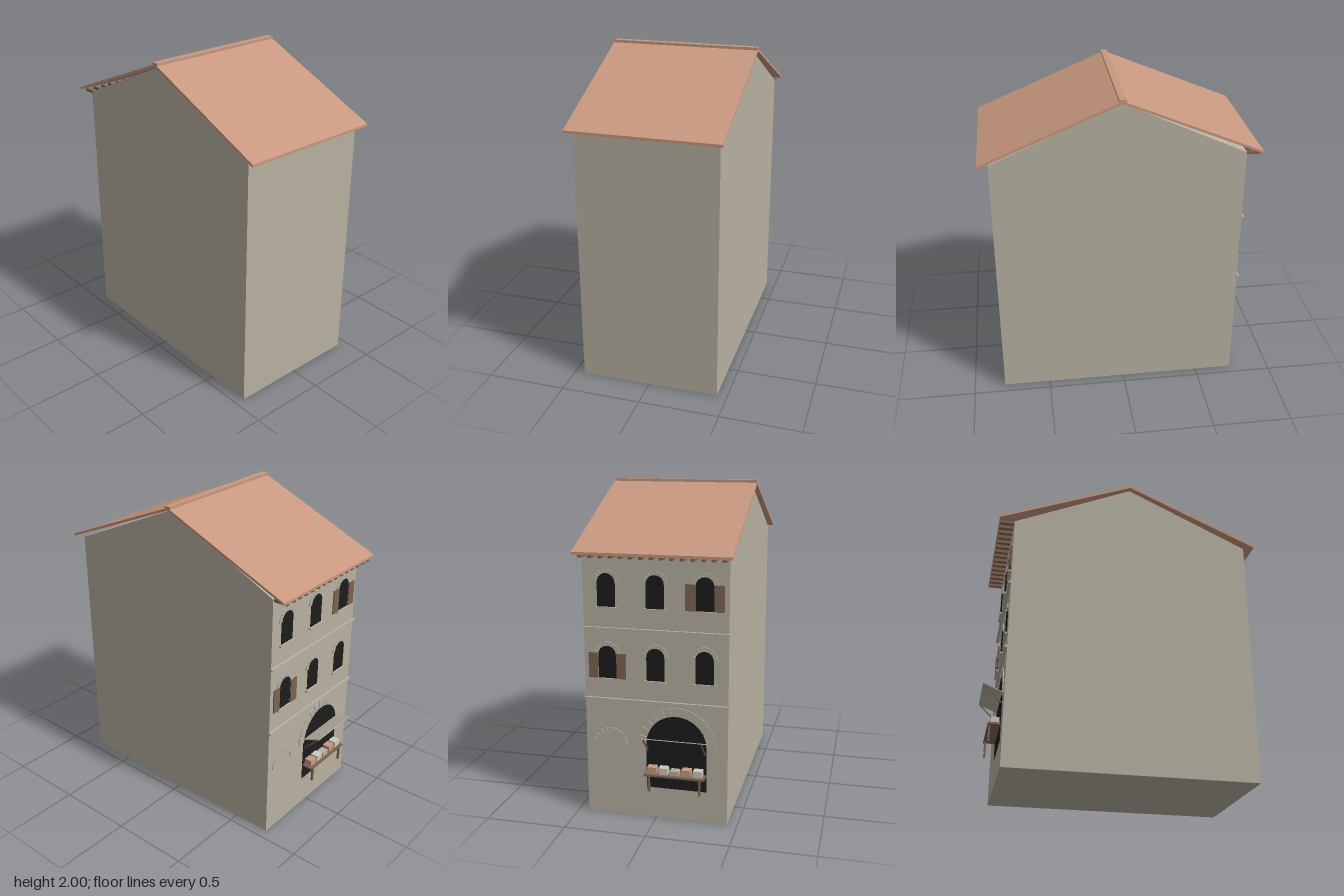
import * as THREE from 'three';

const mat = (name, color) => Object.assign(new THREE.MeshStandardMaterial({ color }), { name });

export function createModel() {
  const stone = mat('stone', 0xb8b1a2);
  const tile = mat('roof tile', 0xc8987f);
  const wood = mat('wood', 0x7d6452);
  const dark = mat('dark opening', 0x1c1c1c);
  const pale = mat('pale goods', 0xcfc8ba);

  const root = new THREE.Group();
  root.name = 'townHouse';

  const add = (parent, name, geo, material) => {
    const m = new THREE.Mesh(geo, material);
    m.name = name;
    parent.add(m);
    return m;
  };
  const box = (parent, name, material, w, h, d, x, y, z) => {
    const m = add(parent, name, new THREE.BoxGeometry(w, h, d), material);
    m.position.set(x, y, z);
    return m;
  };
  // Extrudes a side outline of [z, y] points along x, centred
  const sideExtrude = (name, points, width, material) => {
    const shape = new THREE.Shape(points.map(([z, y]) => new THREE.Vector2(-z, y)));
    const geo = new THREE.ExtrudeGeometry(shape, { depth: width, bevelEnabled: false });
    geo.translate(0, 0, -width / 2).rotateY(Math.PI / 2);
    return add(root, name, geo, material);
  };

  // Gabled body
  const ridgeZ = 0.015;
  sideExtrude('walls', [[0.8, 0], [0.8, 1.62], [ridgeZ, 1.97], [-0.74, 1.62], [-0.74, 0]].reverse(), 0.875, stone);

  // Roof slopes and ridge cap
  for (const s of [1, -1]) {
    const end = ridgeZ + s * 0.85;
    const pts = [[end, 1.62], [end, 1.636], [ridgeZ, 1.992], [ridgeZ, 1.975]];
    sideExtrude(s > 0 ? 'frontRoof' : 'backRoof', pts, 0.935, tile);
  }
  box(root, 'ridgeCap', tile, 0.935, 0.022, 0.042, 0, 1.989, ridgeZ);

  // Decorated facade on the back; local +z points out of the wall
  const facade = new THREE.Group();
  facade.name = 'facade';
  facade.position.z = -0.74;
  facade.rotation.y = Math.PI;
  root.add(facade);

  // Rafter ends below the eave
  for (let i = 0; i < 15; i++) {
    box(facade, 'rafter', wood, 0.022, 0.018, 0.09, -0.42 + i * 0.06, 1.613, 0.045);
  }

  // String courses between storeys
  for (const y of [0.74, 1.175]) box(facade, 'stringCourse', stone, 0.885, 0.014, 0.015, 0, y, 0.0075);

  // Round-headed dark panel
  const opening = (name, x, bottom, spring, r) => {
    const shape = new THREE.Shape();
    shape.moveTo(-r, bottom);
    shape.lineTo(r, bottom);
    shape.lineTo(r, spring);
    shape.absarc(0, spring, r, 0, Math.PI, false);
    const geo = new THREE.ExtrudeGeometry(shape, { depth: 0.003, bevelEnabled: false, curveSegments: 14 });
    add(facade, name, geo, dark).position.x = x;
  };

  // Ring of separate wedge stones over an opening
  const stoneArch = (name, x, y, inner, outer, count) => {
    const arch = new THREE.Group();
    arch.name = name;
    arch.position.set(x, y, 0);
    facade.add(arch);
    const step = Math.PI / count;
    for (let i = 0; i < count; i++) {
      const a = (i + 0.04) * step, b = (i + 0.96) * step;
      const p = (r, t) => new THREE.Vector2(r * Math.cos(t), r * Math.sin(t));
      const wedge = new THREE.Shape([p(inner, a), p(outer, a), p(outer, b), p(inner, b)]);
      add(arch, 'archStone', new THREE.ExtrudeGeometry(wedge, { depth: 0.006, bevelEnabled: false }), stone);
    }
  };

  // Windows on two storeys, one shuttered in each
  for (const [base, shuttered] of [[1.3, 0.295], [0.865, -0.295]]) {
    for (const x of [-0.295, 0, 0.295]) {
      opening('window', x, base, base + 0.15, 0.055);
      stoneArch('windowArch', x, base + 0.15, 0.055, 0.08, 9);
      box(facade, 'sill', stone, 0.14, 0.012, 0.014, x, base, 0.007);
      if (x !== shuttered) continue;
      for (const s of [-1, 1]) {
        box(facade, 'shutter', wood, 0.058, 0.155, 0.007, x + s * 0.086, base + 0.083, 0.006);
      }
    }
  }

  // Shop doorway and blind arch
  const shopX = 0.125;
  opening('shopOpening', shopX, 0.195, 0.475, 0.185);
  stoneArch('shopArch', shopX, 0.475, 0.185, 0.24, 13);
  stoneArch('blindArch', -0.285, 0.45, 0.078, 0.11, 9);

  // Thin bar between two points in the local y-z plane
  const slab = (name, material, x, width, thick, [z0, y0], [z1, y1]) => {
    const len = Math.hypot(z1 - z0, y1 - y0);
    const m = box(facade, name, material, width, thick, len, x, (y0 + y1) / 2, (z0 + z1) / 2);
    m.rotation.x = -Math.atan2(y1 - y0, z1 - z0);
  };

  // Raised awning with struts
  slab('awning', stone, shopX, 0.37, 0.005, [0, 0.5], [0.118, 0.549]);
  for (const s of [-1, 1]) slab('awningStrut', wood, shopX + s * 0.175, 0.007, 0.007, [0, 0.43], [0.115, 0.545]);

  // Market table
  box(facade, 'tableTop', wood, 0.37, 0.012, 0.075, shopX, 0.3, 0.0375);
  for (const s of [-1, 1]) box(facade, 'tableLeg', wood, 0.014, 0.1, 0.012, shopX + s * 0.155, 0.247, 0.064);

  // Goods on the table
  [tile, pale, stone, tile, pale].forEach((material, i) => {
    const h = i === 2 ? 0.028 : 0.04;
    box(facade, 'goodsBox', material, 0.055, h, 0.05, shopX - 0.14 + i * 0.07, 0.306 + h / 2, 0.033);
  });

  return root;
}
